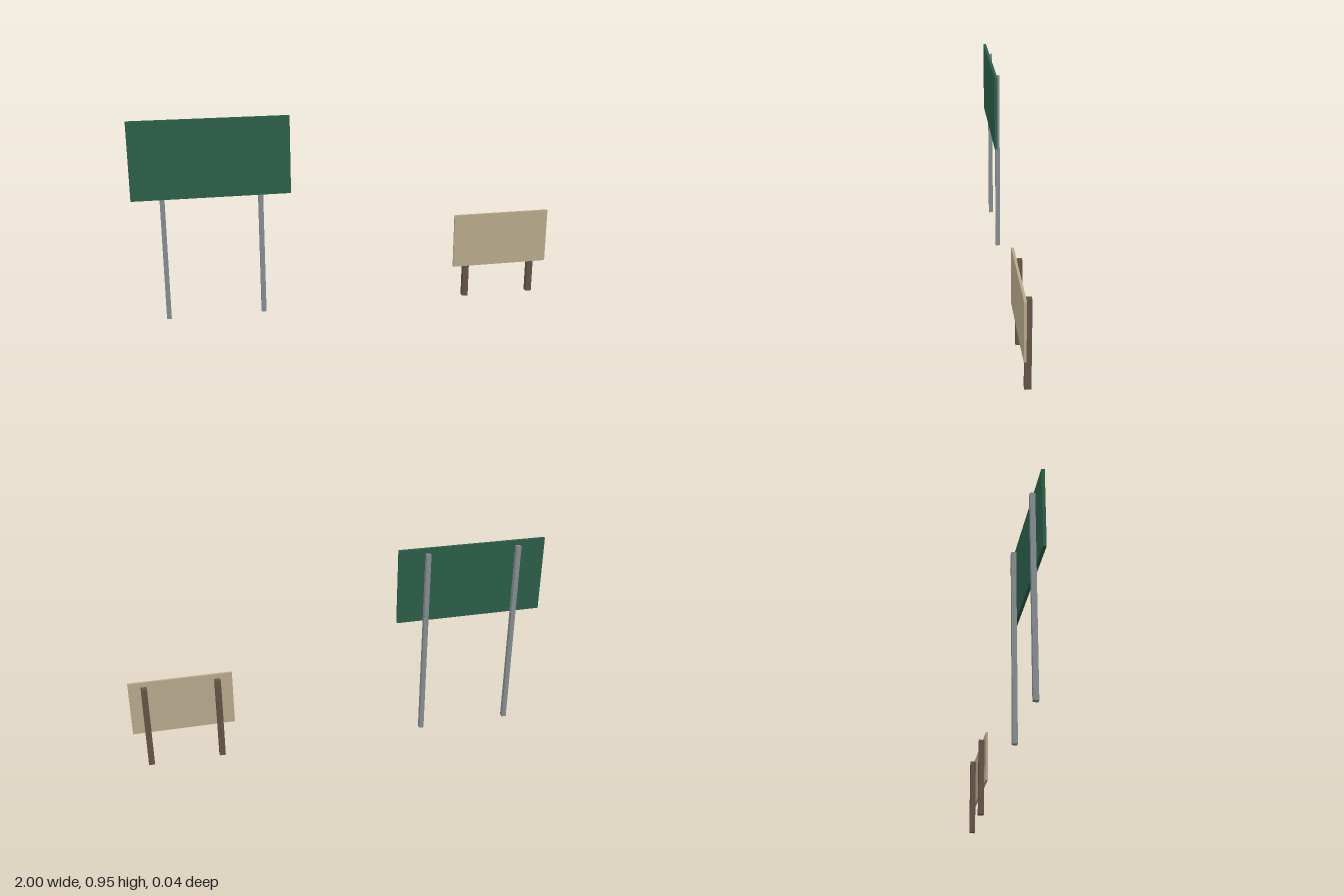
import * as THREE from 'three';

// Box given by its extents on each axis
function box(name, [x0, x1], [y0, y1], [z0, z1], material) {
  const mesh = new THREE.Mesh(new THREE.BoxGeometry(x1 - x0, y1 - y0, z1 - z0), material);
  mesh.position.set((x0 + x1) / 2, (y0 + y1) / 2, (z0 + z1) / 2);
  mesh.name = name;
  return mesh;
}

// Flat panel carried on two square posts behind it
function sign({ name, x, y, front, back, panelColor, postColor, postOffset, postWidth, postTop, postBack }) {
  const group = new THREE.Group();
  group.name = name;
  const panelMaterial = new THREE.MeshStandardMaterial({ color: panelColor });
  const postMaterial = new THREE.MeshStandardMaterial({ color: postColor });
  group.add(box('panel', x, y, [back, front], panelMaterial));
  const centre = (x[0] + x[1]) / 2;
  for (const [side, s] of [['rightPost', -1], ['leftPost', 1]]) {
    const px = centre + s * postOffset;
    group.add(box(side, [px - postWidth / 2, px + postWidth / 2], [0, postTop], [postBack, back], postMaterial));
  }
  return group;
}

export function createModel() {
  const model = new THREE.Group();
  model.name = 'roadSigns';

  // Tall green sign on slim metal posts
  model.add(sign({
    name: 'tallSign', x: [-1, -0.275], y: [0.588, 0.952], front: 0.02, back: 0.006,
    panelColor: 0x2b5f49, postColor: 0x868d91,
    postOffset: 0.224, postWidth: 0.022, postTop: 0.928, postBack: -0.016,
  }));

  // Low tan sign on stout wooden posts
  model.add(sign({
    name: 'lowSign', x: [0.523, 1], y: [0.163, 0.427], front: 0.02, back: 0.009,
    panelColor: 0xb9ab8d, postColor: 0x655447,
    postOffset: 0.168, postWidth: 0.028, postTop: 0.404, postBack: -0.019,
  }));

  return model;
}
